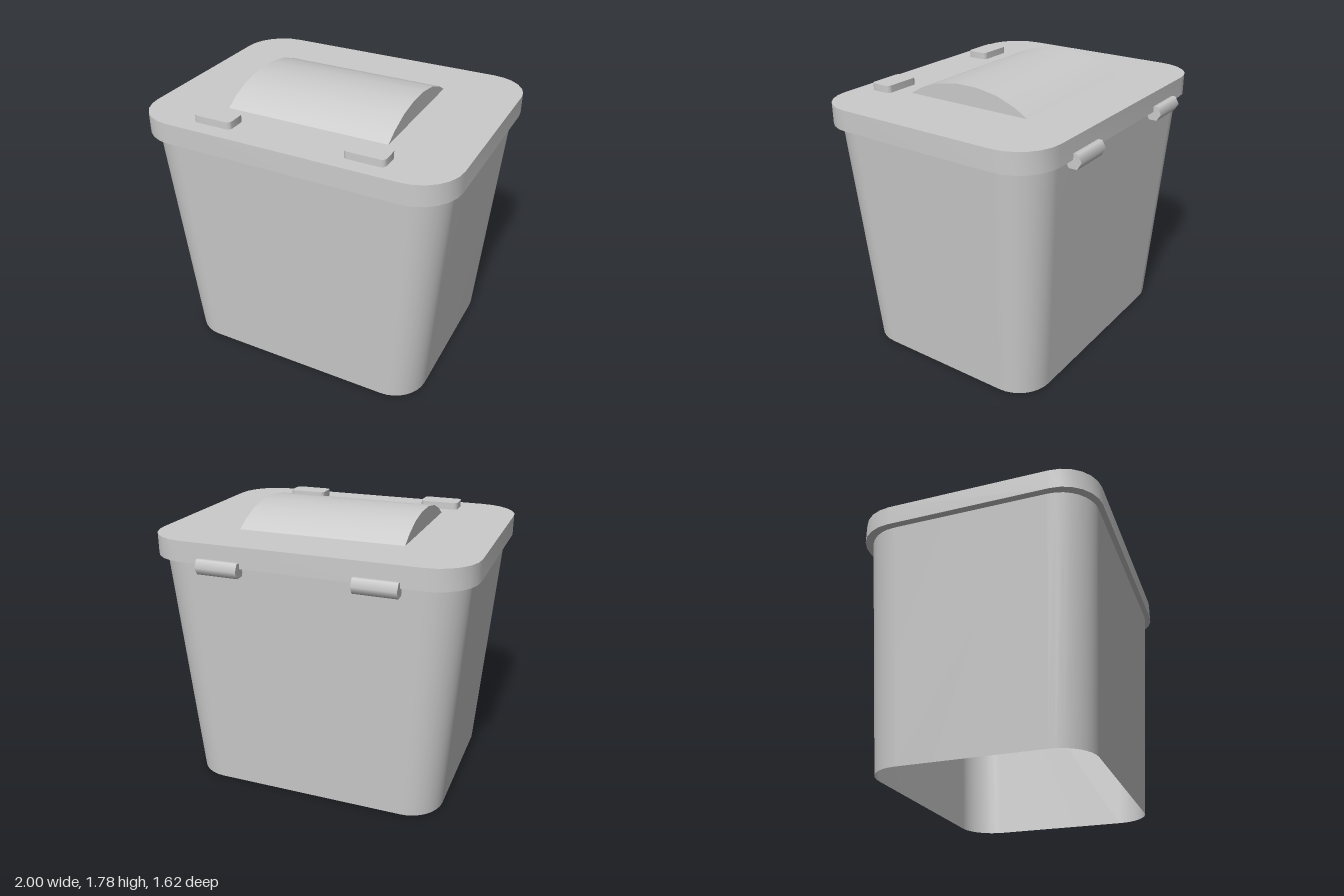
import * as THREE from 'three';
import { toCreasedNormals } from 'three/addons/utils/BufferGeometryUtils.js';

const MID_Z = 0.025; // the bin sits slightly forward because of the rear hinges
const material = new THREE.MeshStandardMaterial({ color: 0xcccccc });
const thinMaterial = new THREE.MeshStandardMaterial({ color: 0xcccccc, side: THREE.DoubleSide });

// Rounded rectangle centred on the origin
function roundedRect(hx, hy, r) {
  const s = new THREE.Shape();
  s.absarc(hx - r, hy - r, r, 0, Math.PI / 2);
  s.absarc(-hx + r, hy - r, r, Math.PI / 2, Math.PI);
  s.absarc(-hx + r, -hy + r, r, Math.PI, Math.PI * 1.5);
  s.absarc(hx - r, -hy + r, r, Math.PI * 1.5, Math.PI * 2);
  s.closePath();
  return s;
}

// Flat plate lying in xz, from y = 0 up to the given height
function plate(hx, hz, r, height, segments) {
  const g = new THREE.ExtrudeGeometry(roundedRect(hx, hz, r), {
    depth: height, bevelEnabled: false, curveSegments: segments,
  });
  g.rotateX(-Math.PI / 2);
  return toCreasedNormals(g, 0.6);
}

// Tapered thin wall, open at the bottom
function wallGeometry() {
  const ring = [];
  const arcSteps = 8, r = 0.26;
  for (let c = 0; c < 4; c++) {
    const sx = c === 0 || c === 3 ? 1 : -1, sz = c < 2 ? 1 : -1;
    for (let i = 0; i <= arcSteps; i++) {
      const a = (c + i / arcSteps) * Math.PI / 2;
      ring.push([sx * (1 - r) + r * Math.cos(a), sz * (0.785 - r) + r * Math.sin(a)]);
    }
  }
  const levels = [[0, 0.84], [1.53, 0.955]]; // height, scale
  const positions = [], index = [], n = ring.length;
  for (const [y, s] of levels) for (const [x, z] of ring) positions.push(x * s, y, z * s);
  for (let i = 0; i < n; i++) {
    const j = (i + 1) % n;
    index.push(i, n + i, j, j, n + i, n + j);
  }
  const g = new THREE.BufferGeometry();
  g.setAttribute('position', new THREE.Float32BufferAttribute(positions, 3));
  g.setIndex(index);
  g.computeVertexNormals();
  return g;
}

// Curved flap: shallow arc profile extruded along x
function flapGeometry() {
  const profile = [[0.43, 0], [0.345, 0.05], [0.222, 0.096], [0.08, 0.12],
    [-0.08, 0.12], [-0.222, 0.096], [-0.345, 0.05], [-0.43, 0]];
  const shape = new THREE.Shape(profile.map(([x, y]) => new THREE.Vector2(x, y)));
  const g = new THREE.ExtrudeGeometry(shape, { depth: 1.055, bevelEnabled: false });
  g.translate(0, 0, -0.5275);
  g.rotateY(Math.PI / 2);
  return toCreasedNormals(g, 0.35);
}

export function createModel() {
  const bin = new THREE.Group();
  bin.name = 'bin';

  function add(name, geometry, x, y, z, mat = material) {
    const mesh = new THREE.Mesh(geometry, mat);
    mesh.name = name;
    mesh.position.set(x, y, z);
    bin.add(mesh);
    return mesh;
  }

  add('body', wallGeometry(), 0, 0, MID_Z, thinMaterial);
  add('lid', plate(1, 0.785, 0.26, 0.13, 3), 0, 1.527, MID_Z);
  add('flap', flapGeometry(), -0.006, 1.657, 0.03);

  // Front clips and hexagonal rear hinges, one pair of each
  const clip = plate(0.126, 0.072, 0.03, 0.045, 4);
  const hinge = new THREE.CylinderGeometry(0.052, 0.052, 0.265, 6);
  hinge.rotateZ(Math.PI / 2);
  for (const [side, sx] of [['left', 1], ['right', -1]]) {
    add(side + 'Clip', clip, sx * 0.486, 1.657, 0.638);
    add(side + 'Hinge', hinge, sx * 0.481, 1.519, -0.76);
  }
  return bin;
}
